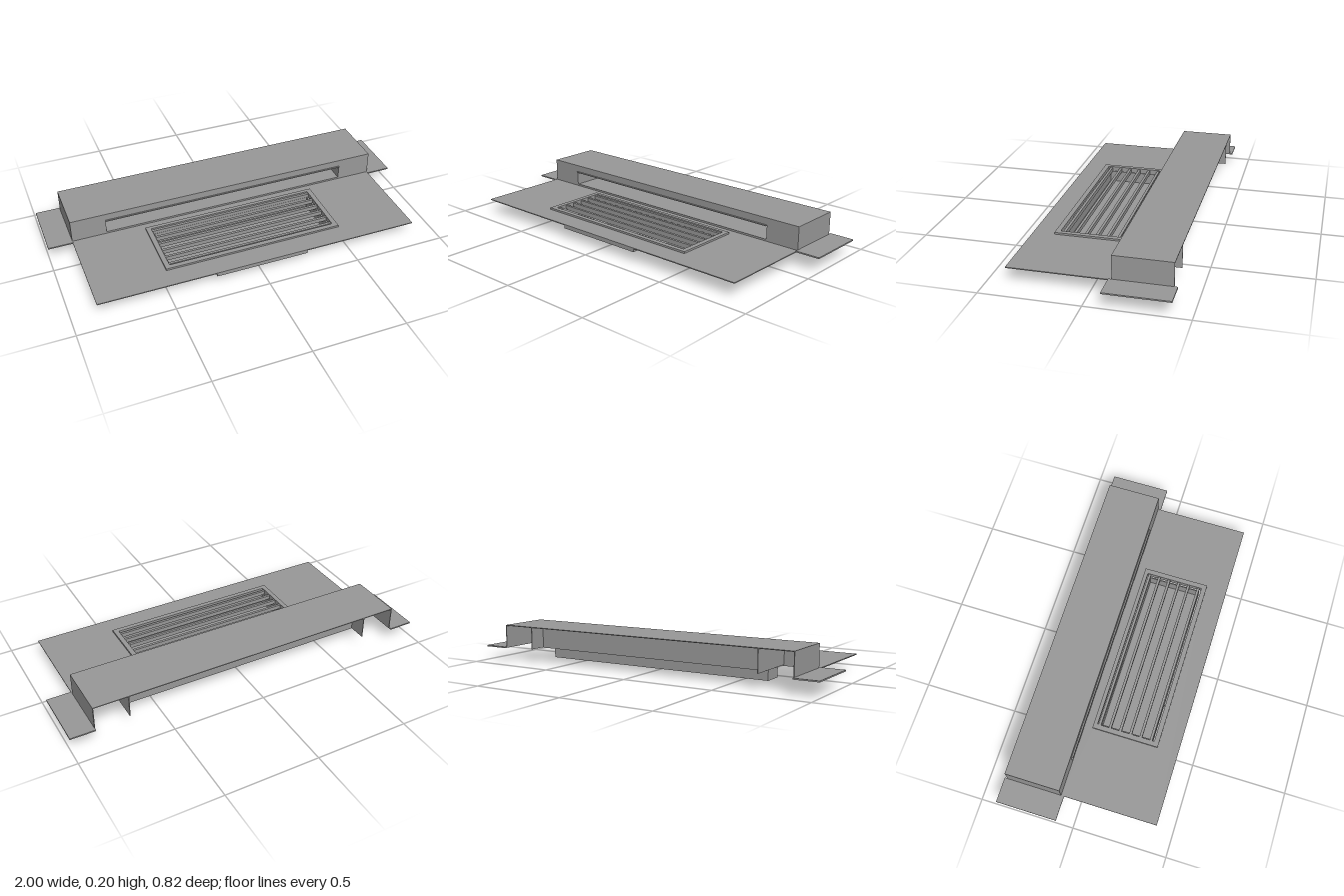
import * as THREE from 'three';

const grey = new THREE.MeshStandardMaterial({ color: 0x999999 });
grey.name = 'metalGrey';

export function createModel() {
  const model = new THREE.Group();
  model.name = 'ventPanel';
  const T = 0.004; // sheet thickness

  // Box given by its minimum and maximum on each axis
  const box = (name, x0, x1, y0, y1, z0, z1, parent = model) => {
    const m = new THREE.Mesh(new THREE.BoxGeometry(x1 - x0, y1 - y0, z1 - z0), grey);
    m.position.set((x0 + x1) / 2, (y0 + y1) / 2, (z0 + z1) / 2);
    m.name = name;
    parent.add(m);
    return m;
  };

  // Rectangle with a rectangular hole, in the plane a (x) by b
  const ringGeometry = (x, b0, b1, hx, h0, h1, depth) => {
    const rect = (P, w, lo, hi) => {
      const p = new P();
      p.moveTo(-w, lo).lineTo(w, lo).lineTo(w, hi).lineTo(-w, hi).closePath();
      return p;
    };
    const s = rect(THREE.Shape, x, b0, b1);
    s.holes.push(rect(THREE.Path, hx, h0, h1));
    return new THREE.ExtrudeGeometry(s, { depth, bevelEnabled: false });
  };

  // Horizontal ring between two heights; z is mirrored by the rotation
  const flatRing = (name, x, z0, z1, hx, h0, h1, y0, y1) => {
    const g = ringGeometry(x, -z1, -z0, hx, -h1, -h0, y1 - y0);
    g.rotateX(-Math.PI / 2);
    const m = new THREE.Mesh(g, grey);
    m.position.y = y0;
    m.name = name;
    model.add(m);
  };

  // Front plate and raised grille frame
  flatRing('frontPlate', 0.87, -0.103, 0.41, 0.47, -0.05, 0.285, 0.073, 0.078);
  flatRing('grilleFrame', 0.483, -0.06, 0.298, 0.457, -0.04, 0.272, 0.06, 0.088);

  // Stiffening pads under the plate, in front of and behind the tray
  box('frontPad', -0.25, 0.25, 0.056, 0.074, 0.264, 0.41);
  box('rearPad', -0.25, 0.25, 0.056, 0.074, -0.103, -0.024);

  // Louvre slats
  const slats = new THREE.Group();
  slats.name = 'grilleSlats';
  model.add(slats);
  for (let i = 0; i < 6; i++) {
    const z = -0.028 + i * 0.0565;
    box('slat', -0.457, 0.457, 0.06, 0.083, z - 0.007, z + 0.007, slats);
  }

  // Open tray below the grille
  box('trayBottom', -0.45, 0.45, 0, T, -0.024, 0.263);
  box('trayBack', -0.45, 0.45, 0, 0.064, -0.024, -0.024 + T);
  box('trayFront', -0.45, 0.45, 0, 0.064, 0.263 - T, 0.263);

  // Hood: top and front wall with a long slot
  box('hoodTop', -0.87, 0.87, 0.202 - T, 0.202, -0.394, -0.103);
  const front = new THREE.Mesh(ringGeometry(0.87, 0.075, 0.2, 0.683, 0.088, 0.165, T), grey);
  front.position.z = -0.103 - T;
  front.name = 'hoodFront';
  model.add(front);
  box('slotLip', -0.683, 0.683, 0.16, 0.165, -0.11, -0.095);

  // Duct behind the slot
  box('ductBack', -0.683, 0.683, 0.08, 0.2, -0.3, -0.3 + T);
  box('ductFloor', -0.683, 0.683, 0.078, 0.086, -0.3, -0.103);
  box('drainBox', -0.66, 0.66, 0.016, 0.08, -0.228, -0.121);

  // Mirrored ends
  for (const s of [-1, 1]) {
    const side = (name, a, b, ...r) => box(name, Math.min(s * a, s * b), Math.max(s * a, s * b), ...r);
    side('hoodSide', 0.87 - T, 0.87, 0.075, 0.202, -0.394, -0.103);
    side('ductEnd', 0.683, 0.683 + T, 0.08, 0.2, -0.394, -0.103);
    side('mountingFlange', 0.868, 1, 0.074, 0.081, -0.41, -0.087);
    side('trayEnd', 0.45 - T, 0.45, 0, 0.064, -0.024, 0.263);
  }
  return model;
}
